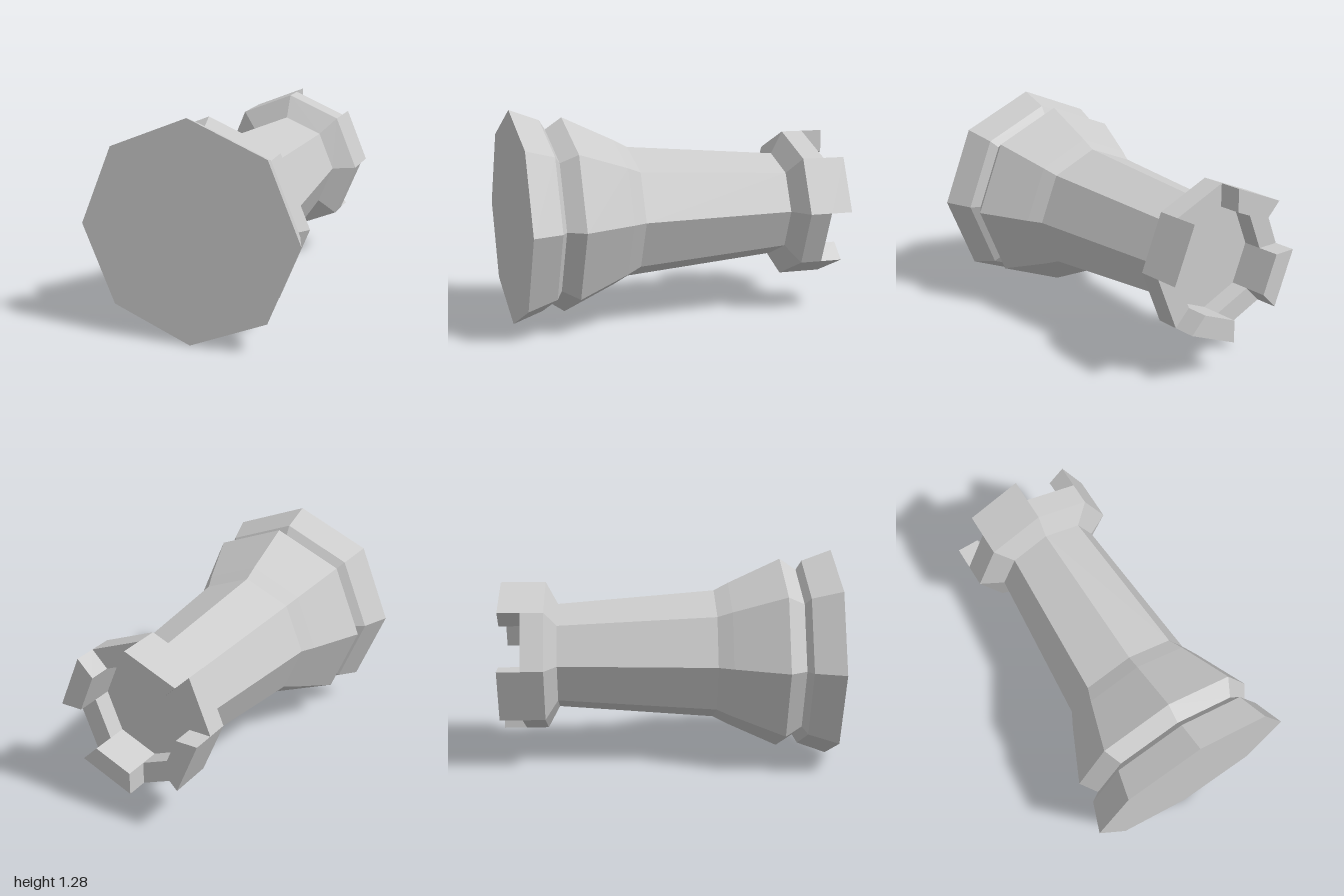
import * as THREE from 'three';

const SIDES = 8;
const AXIS_Y = 0.643; // height of the lying piece's axis
const HEAD_R = 0.455, INNER_R = 0.32;
const TOP_Z = -1, NOTCH_Z = -0.865, FLOOR_Z = -0.75;

const material = new THREE.MeshStandardMaterial({ color: 0xcccccc, flatShading: true });

function part(name, geometry) {
  const faceted = geometry.index ? geometry.toNonIndexed() : geometry;
  faceted.computeVertexNormals();
  const mesh = new THREE.Mesh(faceted, material);
  mesh.name = name;
  return mesh;
}

// Octagonal turning around z; the profile is a list of [radius, z] from +z to -z
function turned(name, profile) {
  const points = profile.map(([r, z]) => new THREE.Vector2(r, -z));
  return part(name, new THREE.LatheGeometry(points, SIDES).rotateX(-Math.PI / 2));
}

// One raised block filling a single side of the octagonal rim
function merlon(index) {
  const a = (index * Math.PI) / 2, b = a + (2 * Math.PI) / SIDES;
  const at = (r, t) => new THREE.Vector2(r * Math.cos(t), r * Math.sin(t));
  const shape = new THREE.Shape([at(INNER_R, a), at(HEAD_R, a), at(HEAD_R, b), at(INNER_R, b)]);
  const geometry = new THREE.ExtrudeGeometry(shape, { depth: NOTCH_Z - TOP_Z, bevelEnabled: false });
  return part('merlon', geometry.translate(0, 0, TOP_Z));
}

export function createModel() {
  const model = new THREE.Group();
  model.name = 'rook';

  // Foot with its narrow groove
  model.add(turned('base', [[0, 1], [0.64, 1], [0.575, 0.822], [0.52, 0.788]]));

  // Flared collar running into the tapering shaft
  model.add(turned('shaft', [
    [0.52, 0.788], [0.588, 0.688], [0.443, 0.375], [0.397, 0.288], [INNER_R, -0.658],
  ]));

  // Head with a recessed floor
  model.add(turned('head', [
    [INNER_R, -0.658], [HEAD_R, -0.73], [HEAD_R, NOTCH_Z],
    [INNER_R, NOTCH_Z], [INNER_R, FLOOR_Z], [0, FLOOR_Z],
  ]));

  // Battlements on every other side
  const battlements = new THREE.Group();
  battlements.name = 'battlements';
  for (let i = 0; i < 4; i++) battlements.add(merlon(i));
  model.add(battlements);

  for (const child of model.children) child.position.y = AXIS_Y;
  return model;
}
